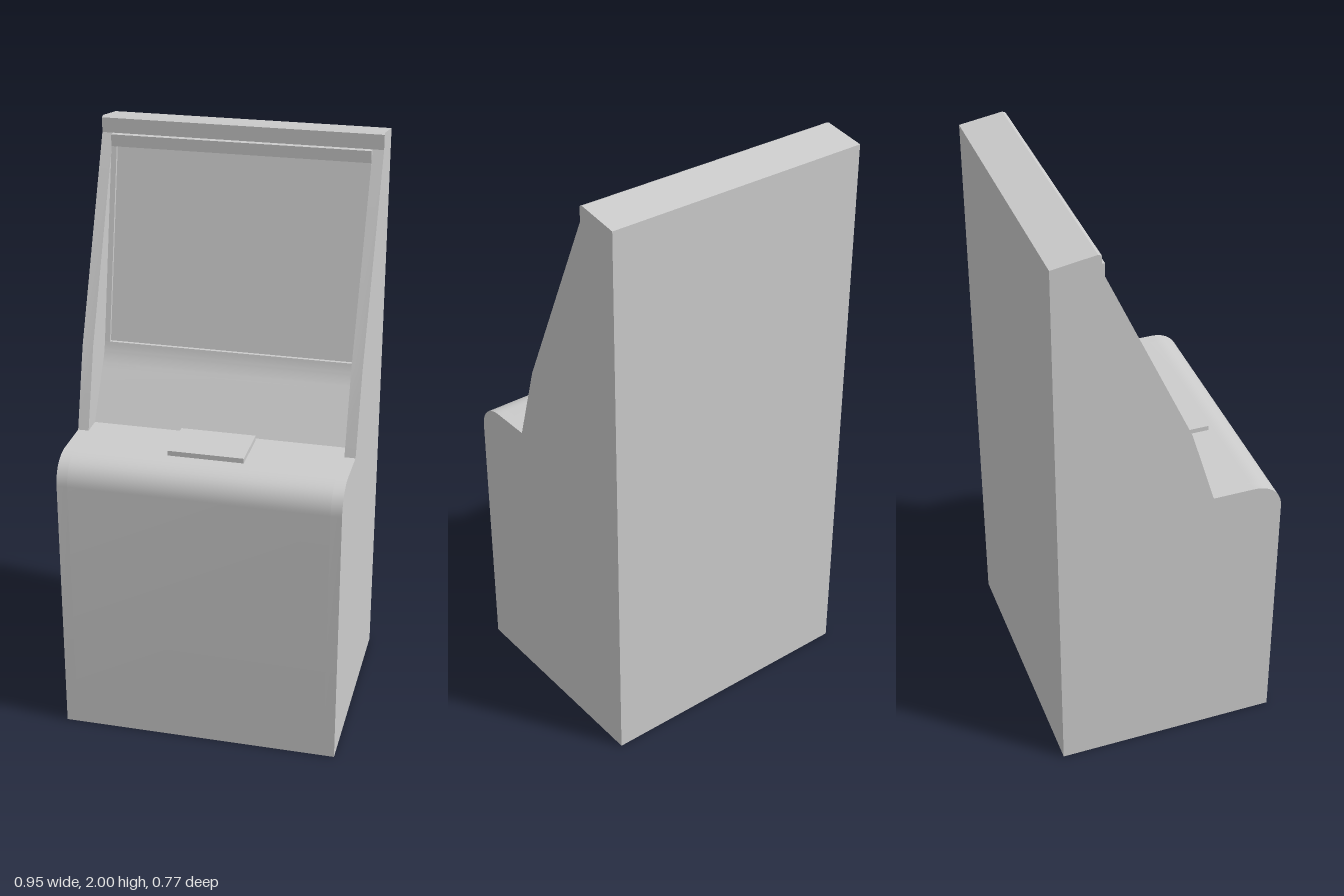
import * as THREE from 'three';
import { toCreasedNormals } from 'three/addons/utils/BufferGeometryUtils.js';

const material = new THREE.MeshStandardMaterial({ color: 0xcccccc });
const HALF_WIDTH = 0.475, INNER = 0.438, SCREEN = 0.42;

// Extrudes a side profile (drawn as z, y) across x from x0 to x1
function slab(name, shape, x0, x1) {
  const geo = new THREE.ExtrudeGeometry(shape, { depth: x1 - x0, bevelEnabled: false, curveSegments: 12 });
  geo.rotateY(-Math.PI / 2);
  geo.translate(x1, 0, 0);
  const mesh = new THREE.Mesh(toCreasedNormals(geo, 0.35), material);
  mesh.name = name;
  return mesh;
}

// Back, base and rounded front edge shared by the body and the side panels
function startProfile() {
  const s = new THREE.Shape();
  s.moveTo(-0.385, 0);
  s.lineTo(0.385, 0);
  s.lineTo(0.385, 0.92);
  s.bezierCurveTo(0.385, 0.975, 0.345, 1.015, 0.285, 1.015);
  return s;
}

// Sloped cap that closes every profile at the top
function endProfile(s) {
  s.lineTo(-0.229, 1.945);
  s.lineTo(-0.229, 1.995);
  s.lineTo(-0.24, 2);
  s.lineTo(-0.385, 1.977);
  s.closePath();
  return s;
}

export function createModel() {
  const kiosk = new THREE.Group();
  kiosk.name = 'kiosk';

  // Body between the side panels: deck, curved lower panel, recessed screen, header bar
  const body = startProfile();
  body.lineTo(0.072, 1.015);
  body.lineTo(-0.03, 1.175);
  body.quadraticCurveTo(-0.058, 1.215, -0.068, 1.258);
  body.lineTo(-0.08, 1.258);
  body.lineTo(-0.221, 1.905);
  body.lineTo(-0.207, 1.905);
  body.lineTo(-0.207, 1.945);
  kiosk.add(slab('body', endProfile(body), -INNER, INNER));

  // Side panels
  const side = startProfile();
  side.lineTo(0.144, 1.015);
  side.lineTo(0.063, 1.29);
  kiosk.add(slab('leftSidePanel', endProfile(side), INNER, HALF_WIDTH));
  kiosk.add(slab('rightSidePanel', side, -HALF_WIDTH, -INNER));

  // Narrow upright strips framing the screen
  const strip = new THREE.Shape([
    [-0.08, 1.258], [-0.068, 1.258], [-0.208, 1.905], [-0.221, 1.905],
  ].map(([z, y]) => new THREE.Vector2(z, y)));
  kiosk.add(slab('leftScreenFrame', strip, SCREEN, INNER));
  kiosk.add(slab('rightScreenFrame', strip, -INNER, -SCREEN));

  // Flat pad on the deck
  const pad = new THREE.Mesh(new THREE.BoxGeometry(0.256, 0.022, 0.18), material);
  pad.name = 'deckPad';
  pad.position.set(0, 1.021, 0.176);
  kiosk.add(pad);

  return kiosk;
}
